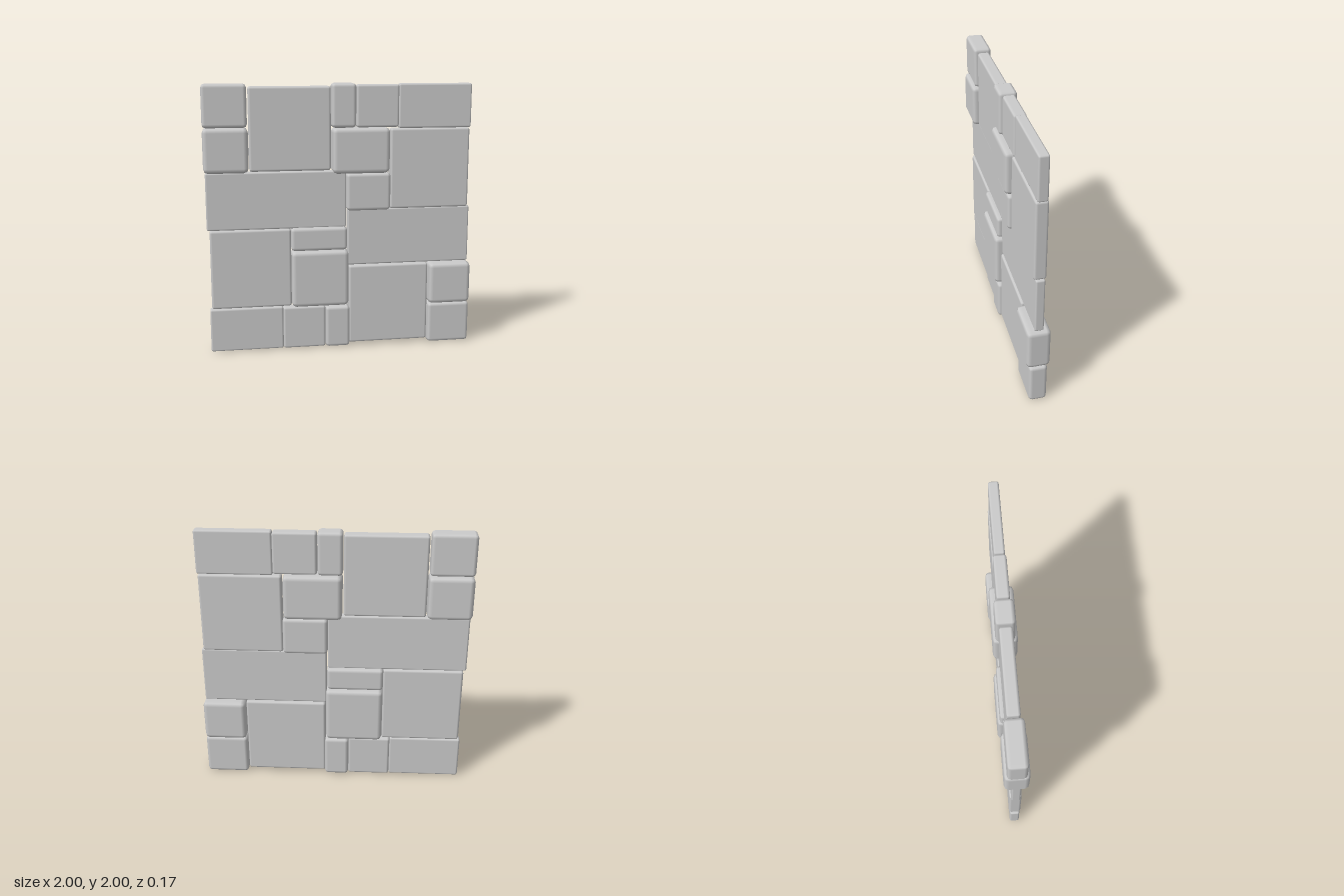
import * as THREE from 'three';
import { RoundedBoxGeometry } from 'three/addons/geometries/RoundedBoxGeometry.js';

// Half thicknesses of the four kinds of stone
const THIN = 0.033, FLAT = 0.045, MID = 0.066, THICK = 0.086;

// Each stone: name, left x, right x, bottom y, top y, half thickness
const STONES = [
  // upper half
  ['topCornerStone', -1.0, -0.68, 1.69, 2.0, MID],
  ['upperEdgeStone', -1.0, -0.675, 1.365, 1.69, THICK],
  ['upperSquareSlab', -0.67, -0.075, 1.37, 1.98, FLAT],
  ['topNarrowStone', -0.07, 0.11, 1.68, 2.0, MID],
  ['topSmallStone', 0.115, 0.43, 1.68, 1.99, FLAT],
  ['topLongStone', 0.43, 0.98, 1.67, 1.995, 0.037],
  ['upperCentreStone', -0.065, 0.36, 1.345, 1.68, THICK],
  ['upperInnerStone', 0.04, 0.37, 1.065, 1.345, MID],
  ['upperRightSlab', 0.37, 0.97, 1.07, 1.67, FLAT],
  ['leftLongSlab', -0.99, 0.04, 0.94, 1.365, THIN],
  // lower half
  ['rightLongSlab', 0.05, 0.985, 0.645, 1.075, THIN],
  ['lowerLeftSlab', -0.97, -0.375, 0.345, 0.94, FLAT],
  ['lowerInnerStone', -0.375, 0.045, 0.77, 0.945, MID],
  ['lowerCentreStone', -0.375, 0.055, 0.34, 0.77, THICK],
  ['lowerSquareSlab', 0.06, 0.67, 0.03, 0.64, FLAT],
  ['lowerEdgeStone', 0.675, 1.0, 0.32, 0.64, THICK],
  ['bottomCornerStone', 0.675, 1.0, 0.005, 0.32, MID],
  ['bottomNarrowStone', -0.12, 0.065, 0.01, 0.33, MID],
  ['bottomSmallStone', -0.44, -0.12, 0.01, 0.335, FLAT],
  ['bottomLongStone', -0.985, -0.44, 0.01, 0.34, 0.037],
];

export function createModel() {
  const wall = new THREE.Group();
  wall.name = 'stoneWall';
  const material = new THREE.MeshStandardMaterial({ color: 0xcccccc });

  // Lay the stones, with softly worn edges that grow with the thickness
  for (const [name, x0, x1, y0, y1, half] of STONES) {
    const geometry = new RoundedBoxGeometry(x1 - x0, y1 - y0, half * 2, 1, half * 0.4);
    const stone = new THREE.Mesh(geometry, material);
    stone.name = name;
    stone.position.set((x0 + x1) / 2, (y0 + y1) / 2, 0);
    wall.add(stone);
  }
  return wall;
}
